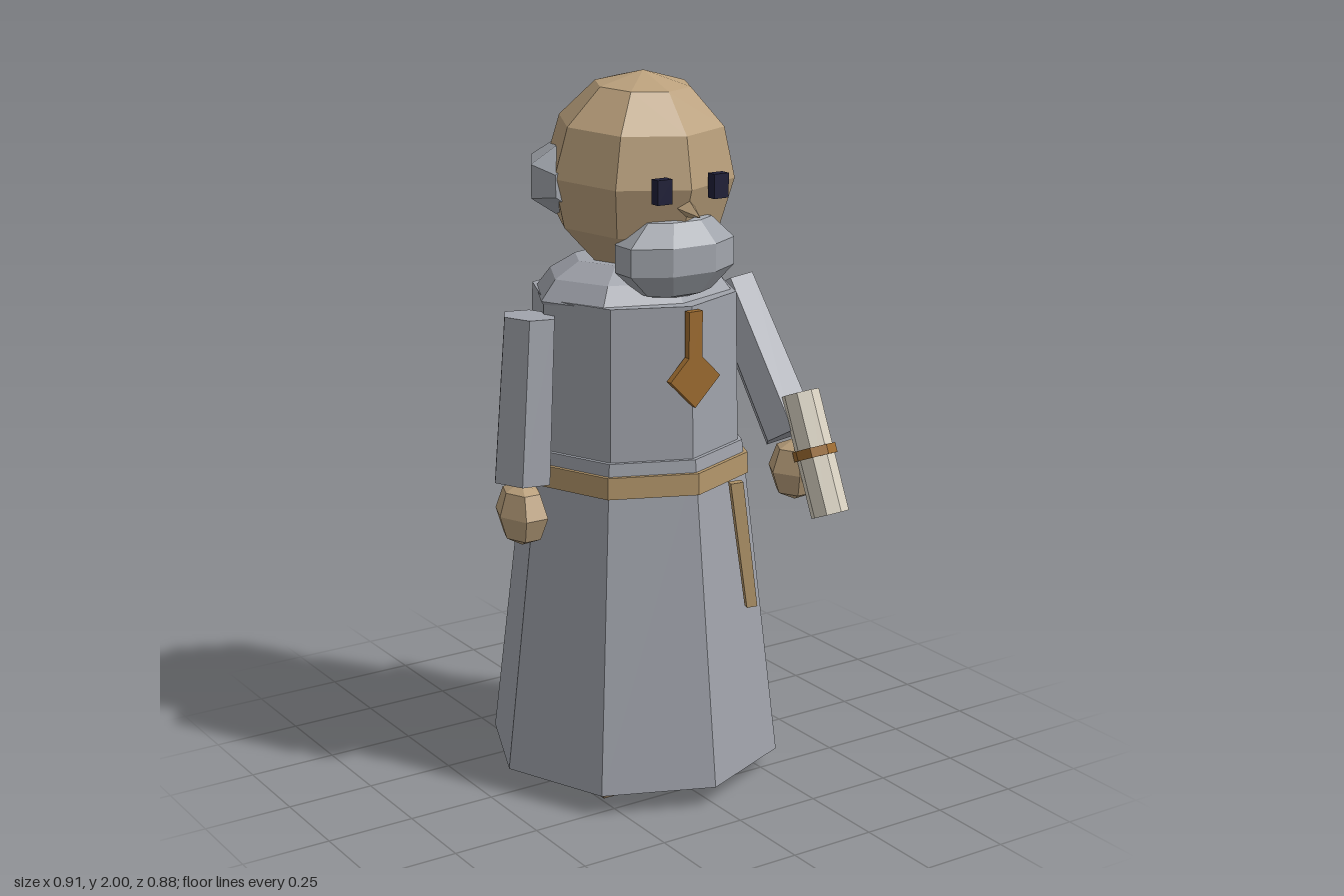
import * as THREE from 'three';

const mat = (name, color) => {
  const m = new THREE.MeshStandardMaterial({ color, flatShading: true });
  m.name = name;
  return m;
};

export function createModel() {
  const model = new THREE.Group();
  const robe = mat('robe grey', 0xa0a3ab);
  const hair = mat('hair grey', 0xa2a6ad);
  const skin = mat('skin', 0xbaa07c);
  const rope = mat('rope tan', 0xb3966a);
  const wood = mat('pendant brown', 0x9c6b30);
  const paper = mat('scroll paper', 0xd9d2c2);
  const leather = mat('shoe brown', 0x75644f);
  const dark = mat('eye navy', 0x1f1f38);

  const CX = -0.01, CZ = -0.022; // body axis

  const add = (name, geo, material, x = 0, y = 0, z = 0) => {
    const mesh = new THREE.Mesh(geo, material);
    mesh.name = name;
    mesh.position.set(x, y, z);
    model.add(mesh);
    return mesh;
  };
  // Upright eight-sided ring of the robe between two heights
  const tier = (name, material, y0, y1, r0, r1) =>
    add(name, new THREE.CylinderGeometry(r1, r0, y1 - y0, 8), material, CX, (y0 + y1) / 2, CZ);
  // Tapered prism from a top point to a bottom point
  const limb = (name, material, top, bottom, rTop, rBottom, sides, twist = 0) => {
    const a = new THREE.Vector3(...top), b = new THREE.Vector3(...bottom);
    const mid = a.clone().add(b).multiplyScalar(0.5);
    const geo = new THREE.CylinderGeometry(rTop, rBottom, a.distanceTo(b), sides, 1, false, twist);
    const mesh = add(name, geo, material, mid.x, mid.y, mid.z);
    mesh.quaternion.setFromUnitVectors(new THREE.Vector3(0, 1, 0), a.sub(b).normalize());
    return mesh;
  };
  // Low-poly ellipsoid
  const ball = (name, material, pos, size, sides, rings, turn = 0) =>
    add(name, new THREE.SphereGeometry(1, sides, rings).rotateY(turn).scale(...size), material, ...pos);

  // Robe
  tier('skirt', robe, 0.06, 0.98, 0.418, 0.308);
  tier('belt', rope, 0.885, 0.945, 0.326, 0.324);
  tier('torso', robe, 0.97, 1.4, 0.296, 0.287);

  // Cowl around the neck
  const cowl = new THREE.LatheGeometry([
    [0.27, 1.36], [0.295, 1.395], [0.25, 1.45], [0.175, 1.492], [0, 1.492],
  ].map(p => new THREE.Vector2(...p)), 8);
  add('cowl', cowl.scale(1, 1, 0.84), robe, CX, 0, CZ);

  // Shoes
  for (const x of [-0.148, 0.13]) {
    add('shoe', new THREE.BoxGeometry(0.184, 0.07, 0.305), leather, x, 0.035, 0.028);
  }

  // Head, tipped slightly forward
  ball('head', skin, [CX, 1.728, 0.008], [0.268, 0.273, 0.253], 8, 6).rotation.x = 0.07;

  // Eyes
  for (const x of [-0.1, 0.078]) {
    add('eye', new THREE.BoxGeometry(0.046, 0.066, 0.03), dark, x, 1.715, 0.255);
  }

  // Nose
  const nose = add('nose', new THREE.ConeGeometry(0.036, 0.09, 4), skin, CX, 1.655, 0.257);
  nose.rotation.x = Math.PI / 2 + 0.25;

  // Beard
  ball('beard', hair, [-0.005, 1.524, 0.175], [0.188, 0.122, 0.107], 8, 5, Math.PI / 8);

  // Band of hair bent around the back of the head
  const band = new THREE.CylinderGeometry(1, 1, 1, 6, 6);
  const p = band.attributes.position;
  const angles = [-96, -76, -43, 0, 43, 76, 96];
  for (let i = 0; i < p.count; i++) {
    const step = Math.round((p.getY(i) + 0.5) * 6);
    const t = THREE.MathUtils.degToRad(angles[step]);
    const s = step === 0 || step === 6 ? 0.65 : 1;
    const r = 0.225 + 0.08 * s * p.getX(i);
    p.setXYZ(i, Math.sin(t) * r, -0.092 * s * p.getZ(i), -Math.cos(t) * r);
  }
  add('hairBand', band, hair, CX, 1.71, -0.012);

  // Pendant on its strap
  add('pendantStrap', new THREE.BoxGeometry(0.043, 0.17, 0.02), wood, CX, 1.305, 0.274);
  const pendant = add('pendant', new THREE.BoxGeometry(0.113, 0.113, 0.02), wood, CX, 1.205, 0.274);
  pendant.rotation.z = Math.PI / 4;

  // Hanging rope end
  limb('ropeEnd', rope, [0.132, 0.89, 0.275], [0.153, 0.54, 0.325], 0.025, 0.021, 4, Math.PI / 8);

  // Right arm, hanging
  limb('rightSleeve', robe, [-0.343, 1.362, -0.02], [-0.372, 0.905, -0.02], 0.077, 0.086, 6, Math.PI / 6);
  ball('rightHand', skin, [-0.375, 0.81, -0.022], [0.068, 0.092, 0.098], 6, 4);

  // Left arm, reaching forward
  limb('leftSleeve', robe, [0.318, 1.37, -0.025], [0.368, 0.975, 0.21], 0.077, 0.084, 6, Math.PI / 6);
  ball('leftHand', skin, [0.365, 0.88, 0.235], [0.078, 0.09, 0.085], 6, 4);

  // Scroll held in the left hand, with its tie
  const sTop = [0.362, 1.105, 0.255], sEnd = [0.372, 0.785, 0.39];
  const along = (f) => sTop.map((v, i) => v + (sEnd[i] - v) * f);
  limb('scroll', paper, sTop, sEnd, 0.054, 0.054, 8);
  limb('scrollTie', wood, along(0.45), along(0.53), 0.062, 0.062, 8);

  return model;
}
